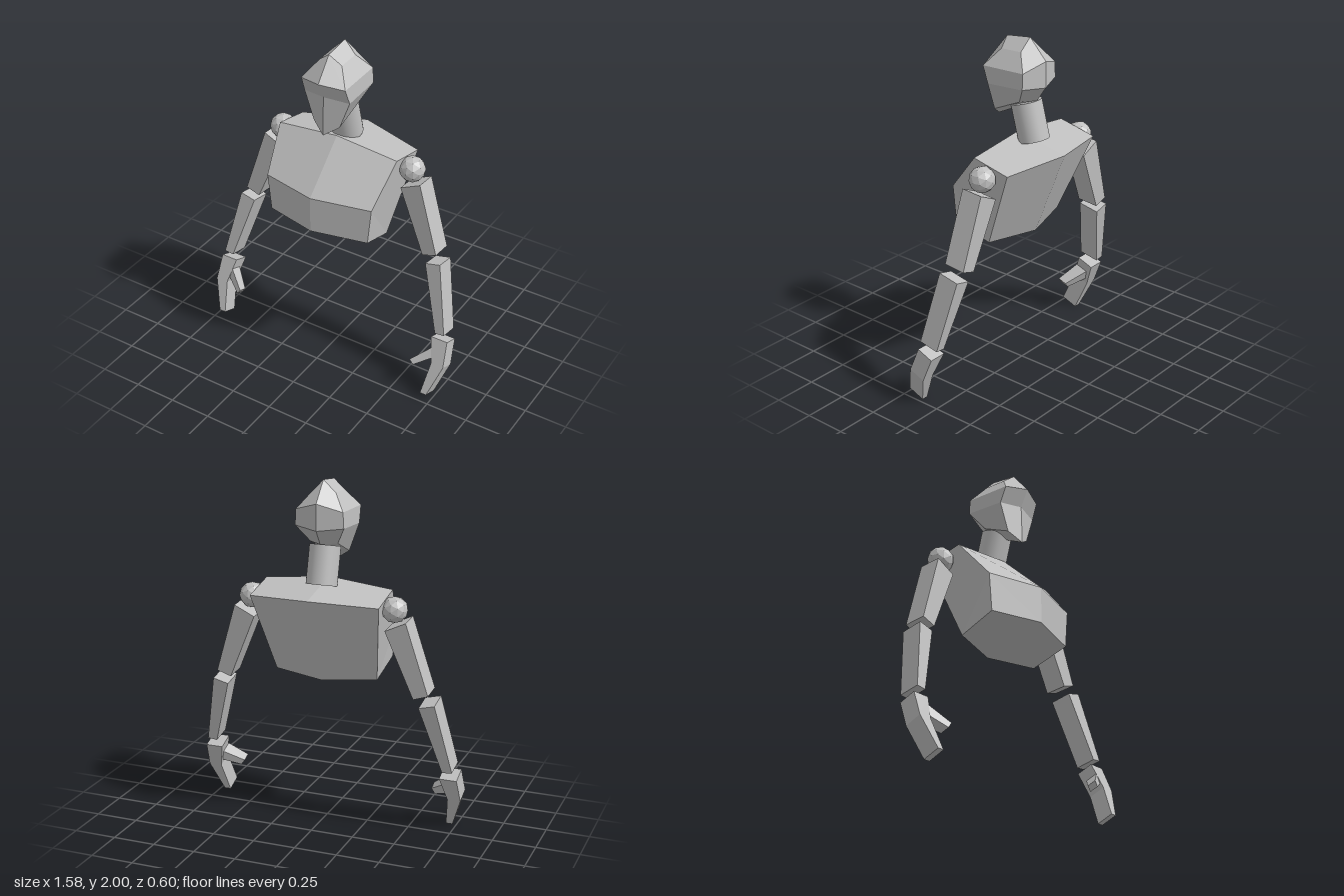
import * as THREE from 'three';

const grey = new THREE.MeshStandardMaterial({ color: 0xc0c0c0 });
grey.name = 'plain grey';

// Flat-faced solid through matching closed loops of [x, y, z] points, capped at both ends.
function loft(name, loops) {
  const quads = [];
  const n = loops[0].length;
  for (let k = 0; k < loops.length - 1; k++) {
    for (let i = 0; i < n; i++) {
      const j = (i + 1) % n;
      quads.push([loops[k][i], loops[k][j], loops[k + 1][j], loops[k + 1][i]]);
    }
  }
  // Caps are strips joining the two halves of the loop
  const cap = (p, flip) => {
    for (let i = 0; i < n - 2 - i; i++) {
      const q = [p[i], p[n - 1 - i], p[n - 2 - i], p[i + 1]];
      quads.push(flip ? q.reverse() : q);
    }
  };
  cap(loops[0], false);
  cap(loops[loops.length - 1], true);

  // Turn the faces outward whichever side the part is mirrored to
  const vec = quads.map((q) => q.map((p) => new THREE.Vector3(...p)));
  const origin = vec[0][0].clone();
  let volume = 0;
  for (const q of vec) {
    const [a, b, c, d] = q.map((p) => p.clone().sub(origin));
    volume += a.dot(b.clone().cross(c)) + a.dot(c.clone().cross(d));
  }
  // One normal per four-sided face keeps slightly bent faces evenly shaded
  const pos = [], nor = [];
  for (const q of vec) {
    const [a, b, c, d] = volume < 0 ? q.reverse() : q;
    const normal = c.clone().sub(a).cross(d.clone().sub(b)).normalize();
    for (const p of [a, b, c, a, c, d]) {
      pos.push(p.x, p.y, p.z);
      nor.push(normal.x, normal.y, normal.z);
    }
  }
  const g = new THREE.BufferGeometry();
  g.setAttribute('position', new THREE.Float32BufferAttribute(pos, 3));
  g.setAttribute('normal', new THREE.Float32BufferAttribute(nor, 3));
  const mesh = new THREE.Mesh(g, grey);
  mesh.name = name;
  return mesh;
}

const mirror = (loop, s) => loop.map(([x, y, z]) => [x * s, y, z]);

// Solid with a ridge down the middle: centre profile [y, z], side profile [x, y, z]
function ridged(name, centre, side) {
  return loft(name, [mirror(side, -1), centre.map(([y, z]) => [0, y, z]), side]);
}

// Four-cornered end of an arm segment; lift raises the front edge over the back
const end = (xIn, xOut, yIn, yOut, z, half, lift) => [
  [xIn, yIn + lift, z + half], [xOut, yOut + lift, z + half],
  [xOut, yOut - lift, z - half], [xIn, yIn - lift, z - half],
];

function makeArm(s) {
  const arm = new THREE.Group();
  arm.name = s > 0 ? 'leftArm' : 'rightArm';
  const add = (name, ...loops) => arm.add(loft(name, loops.map((l) => mirror(l, s))));

  // Faceted ball joint
  const shoulder = new THREE.Mesh(new THREE.IcosahedronGeometry(0.075, 1), grey);
  shoulder.geometry.computeVertexNormals();
  shoulder.name = 'shoulder';
  shoulder.position.set(0.425 * s, 1.315, -0.075);
  arm.add(shoulder);

  add('upperArm',
    end(0.39, 0.51, 1.21, 1.267, -0.075, 0.065, 0.005),
    end(0.553, 0.638, 0.83, 0.858, -0.053, 0.065, 0.006));
  add('forearm',
    end(0.58, 0.672, 0.783, 0.806, -0.04, 0.063, 0.012),
    end(0.70, 0.758, 0.386, 0.392, 0.04, 0.06, 0.012));

  // Flat hand outline, tilted forward and given thickness
  const outline = [[0.78, 0], [0.79, -0.155], [0.727, -0.347], [0.688, -0.347], [0.713, -0.155], [0.677, 0]];
  const tilt = 0.375, cos = Math.cos(tilt), sin = Math.sin(tilt);
  const layer = (d) => outline.map(([x, t]) => [x, 0.345 + t * cos + d * sin, 0.05 - t * sin + d * cos]);
  add('hand', layer(0.052), layer(-0.052));

  // Tapered thumb pointing inward and forward
  const thumbEnd = (x, y, z, h, hz) => [[1, 1], [1, -1], [-1, -1], [-1, 1]].map(
    ([u, v]) => [x - 0.57 * h * u, y + 0.82 * h * u + 0.35 * hz * v, z + 0.94 * hz * v]);
  add('thumb', thumbEnd(0.712, 0.268, 0.085, 0.03, 0.04), thumbEnd(0.604, 0.197, 0.162, 0.019, 0.028));
  return arm;
}

export function createModel() {
  const model = new THREE.Group();
  model.name = 'mannequinBust';

  // Profiles run from the top front edge down the front and up the back
  model.add(ridged('torso',
    [[1.44, 0.025], [1.18, 0.30], [0.963, 0.30], [0.865, -0.10], [1.375, -0.302]],
    [[0.38, 1.40, 0.02], [0.34, 1.17, 0.215], [0.318, 0.95, 0.215], [0.306, 0.875, -0.015], [0.38, 1.35, -0.212]]));

  model.add(ridged('head',
    [[1.98, 0.102], [1.85, 0.208], [1.75, 0.158], [1.515, 0.165],
      [1.65, -0.108], [1.735, -0.167], [1.885, -0.167], [2.0, -0.058]],
    [[0.07, 1.925, 0.085], [0.138, 1.83, 0.16], [0.143, 1.735, 0.123], [0.082, 1.57, 0.128],
      [0.082, 1.65, -0.05], [0.143, 1.75, -0.12], [0.138, 1.84, -0.12], [0.07, 1.93, -0.05]]));

  // Round neck leaning forward
  const neck = new THREE.Mesh(new THREE.CylinderGeometry(0.088, 0.088, 0.222, 32), grey);
  neck.name = 'neck';
  neck.position.set(0, 1.523, -0.06);
  neck.rotation.x = 0.26;
  model.add(neck);

  model.add(makeArm(1), makeArm(-1));
  return model;
}
